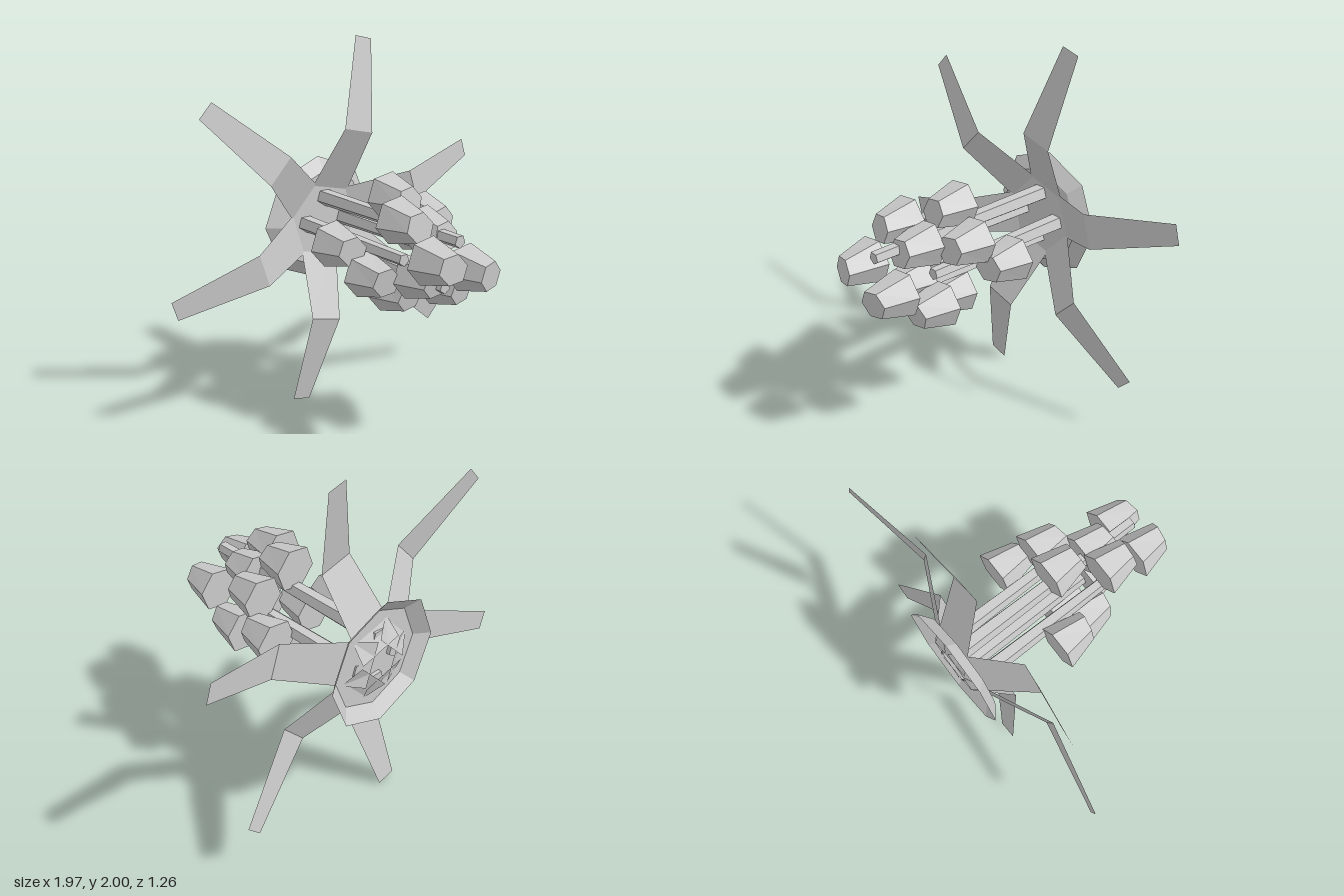
import * as THREE from 'three';

const mat = new THREE.MeshStandardMaterial({ color: 0xcccccc, flatShading: true, side: THREE.DoubleSide });
const rad = THREE.MathUtils.degToRad;

function add(parent, name, geo) {
  const mesh = new THREE.Mesh(geo, mat);
  mesh.name = name;
  parent.add(mesh);
  return mesh;
}

// Tapered prism lying along z, from zBack to zFront
function prism(rFront, rBack, zBack, zFront, sides, open = false) {
  const g = new THREE.CylinderGeometry(rFront, rBack, zFront - zBack, sides, 1, open);
  g.rotateX(Math.PI / 2);
  g.translate(0, 0, (zBack + zFront) / 2);
  return g;
}

// Thin bent leaf running out along +x: [radius, z, half width] per section
function leafGeometry() {
  const sections = [[0.08, -0.63, 0.125], [0.52, -0.415, 0.092], [1.012, -0.515, 0.053]];
  const pos = [], index = [];
  sections.forEach(([r, z, w], i) => {
    pos.push(r, -w, z, r, w, z);
    if (i) {
      const a = 2 * (i - 1);
      index.push(a, a + 2, a + 1, a + 1, a + 2, a + 3);
    }
  });
  const g = new THREE.BufferGeometry();
  g.setAttribute('position', new THREE.Float32BufferAttribute(pos, 3));
  g.setIndex(index);
  g.computeVertexNormals();
  return g;
}

// Six-sided blossom whose small front face slopes back away from the axis
function blossomGeometry(x, y) {
  const g = prism(0.076, 0.122, 0, 0.19, 6);
  g.rotateZ(rad(40));
  const len = Math.hypot(x, y) || 1, p = g.attributes.position;
  for (let i = 0; i < p.count; i++) {
    if (p.getZ(i) > 0.1) {
      const out = (p.getX(i) * x + p.getY(i) * y) / len;
      p.setZ(i, p.getZ(i) - out * 0.2);
    }
  }
  return g;
}

export function createModel() {
  const model = new THREE.Group();
  model.name = 'plant';
  const plant = new THREE.Group();
  plant.name = 'floweringPlant';
  plant.position.y = 1;
  model.add(plant);

  // Shallow dish, open at the back
  add(plant, 'dishRim', prism(0.275, 0.35, -0.635, -0.58, 8, true));
  const floor = new THREE.CircleGeometry(0.275, 8);
  floor.translate(0, 0, -0.58);
  add(plant, 'dishFloor', floor);

  // Leaves whose roots cross inside the dish
  const leaf = leafGeometry();
  for (let i = 0; i < 6; i++) add(plant, 'leaf', leaf).rotation.z = rad(17 + 60 * i);

  // Stems: x, y, front end
  [[0, 0.13, 0.52], [0, -0.125, 0.42], [-0.125, 0, 0.26], [0.125, 0, 0.26]].forEach(([x, y, end]) => {
    add(plant, 'stem', prism(0.033, 0.048, -0.6, end, 5)).position.set(x, y, 0);
  });

  // Blossoms in whorls: x, y, back end
  [
    [-0.255, 0.01, -0.17], [0.26, 0, -0.17],
    [0, 0.25, -0.035], [0, -0.25, -0.035],
    [0.18, 0.13, 0.01], [-0.185, -0.12, 0.01],
    [-0.13, 0.19, 0.195], [0.14, -0.18, 0.195],
    [0.03, 0.12, 0.2], [-0.03, -0.11, 0.2],
    [-0.125, 0.04, 0.425], [0.115, -0.04, 0.425],
  ].forEach(([x, y, z]) => {
    add(plant, 'blossom', blossomGeometry(x, y)).position.set(x, y, z);
  });

  return model;
}
